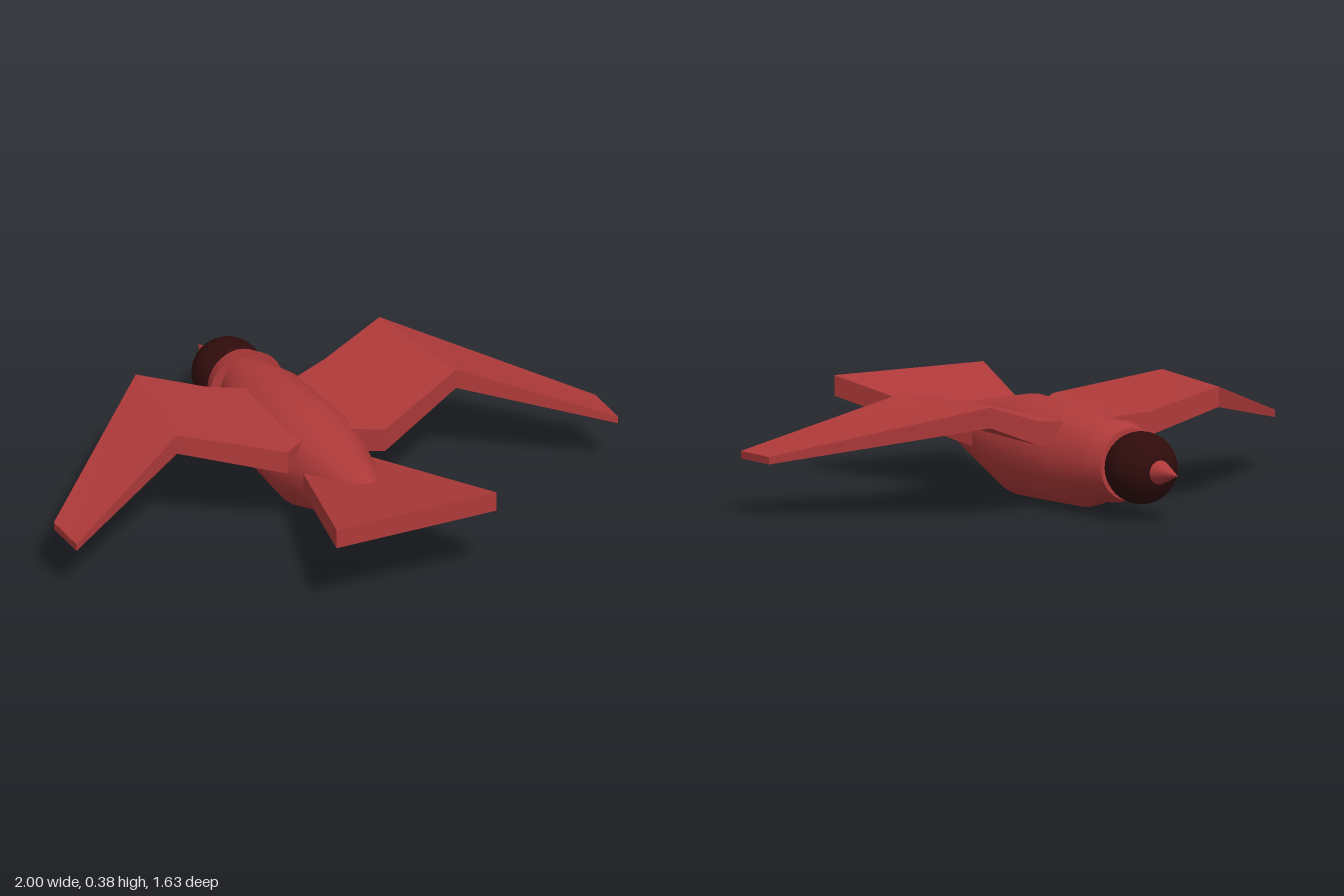
import * as THREE from 'three';
import { toCreasedNormals } from 'three/addons/utils/BufferGeometryUtils.js';

const red = new THREE.MeshStandardMaterial({ color: 0xb03a3a });
const dark = new THREE.MeshStandardMaterial({ color: 0x300c0c });

// Skin a row of equal-length closed cross-sections and cap both ends.
function loft(sections, crease, flip = false) {
  const n = sections[0].length;
  const positions = sections.flat(2);
  const index = [];
  const tri = (a, b, c) => (flip ? index.push(a, c, b) : index.push(a, b, c));
  for (let s = 0; s < sections.length - 1; s++) {
    for (let i = 0; i < n; i++) {
      const a = s * n + i, b = s * n + (i + 1) % n;
      tri(a, b, b + n);
      tri(a, b + n, a + n);
    }
  }
  const last = (sections.length - 1) * n;
  for (let i = 1; i < n - 1; i++) {
    tri(0, i + 1, i);
    tri(last, last + i, last + i + 1);
  }
  const geometry = new THREE.BufferGeometry();
  geometry.setAttribute('position', new THREE.Float32BufferAttribute(positions, 3));
  geometry.setIndex(index);
  return toCreasedNormals(geometry, crease);
}

// Elliptical ring facing along z, counter-clockwise seen from +z.
function ring(z, y, rx, ry, n = 32) {
  return Array.from({ length: n }, (_, i) => {
    const t = (i / n) * Math.PI * 2;
    return [Math.cos(t) * rx, y + Math.sin(t) * ry, z];
  });
}

export function createModel() {
  const group = new THREE.Group();
  const add = (name, geometry, material = red) => {
    const mesh = new THREE.Mesh(geometry, material);
    mesh.name = name;
    group.add(mesh);
    return mesh;
  };

  // Body, from the neck back to the blunt rear end
  add('body', loft([
    ring(-0.48, 0.182, 0.09, 0.116),
    ring(-0.28, 0.172, 0.155, 0.163),
    ring(0.08, 0.174, 0.17, 0.171),
    ring(0.58, 0.21, 0.04, 0.04),
  ], 0.6));

  // Flared collar, head and beak
  add('collar', loft([
    ring(-0.52, 0.18, 0.112, 0.12),
    ring(-0.455, 0.182, 0.137, 0.138),
  ], 0.6));
  const head = add('head', new THREE.SphereGeometry(0.121, 32, 20), dark);
  head.position.set(0, 0.178, -0.592);
  const beak = add('beak', new THREE.ConeGeometry(0.046, 0.125, 24));
  beak.rotation.x = -Math.PI / 2;
  beak.position.set(0, 0.176, -0.7525);

  // Fanned tail slab rising to the rear
  const slab = (z, half, bottom, top) => [
    [half, bottom, z], [half, top, z], [-half, top, z], [-half, bottom, z],
  ];
  add('tail', loft([slab(0.22, 0.125, 0.157, 0.226), slab(0.815, 0.295, 0.271, 0.34)], 0.1));

  // Wing stations: front x, front z, rear x, rear z, bottom y, top y
  const stations = [
    [0.05, -0.25, 0.05, 0.11, 0.21, 0.295],
    [0.22, -0.31, 0.18, 0.22, 0.235, 0.315],
    [0.45, -0.37, 0.515, 0.07, 0.318, 0.387],
    [1, 0.13, 1, 0.3, 0.18, 0.205],
  ];
  for (const side of [1, -1]) {
    const sections = stations.map(([fx, fz, rx, rz, low, high]) => [
      [side * fx, low, fz], [side * fx, high, fz], [side * rx, high, rz], [side * rx, low, rz],
    ]);
    add(side > 0 ? 'leftWing' : 'rightWing', loft(sections, 0.1, side < 0));
  }
  return group;
}
